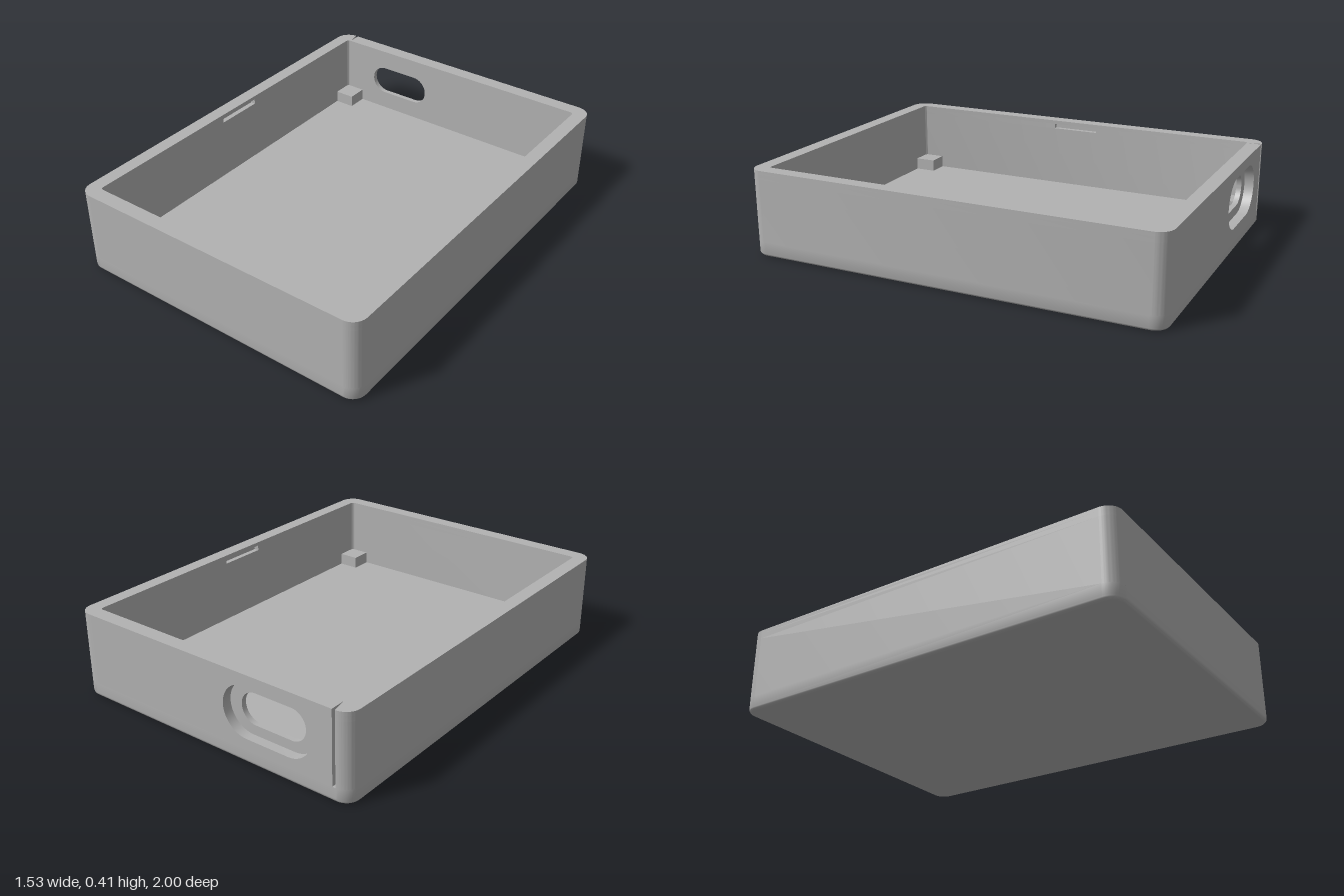
import * as THREE from 'three';
import { toCreasedNormals } from 'three/addons/utils/BufferGeometryUtils.js';

const X = 0.765, Z = 1, R = 0.07;          // outer half sizes and corner radius
const XI = 0.698, ZI = 0.93, RI = 0.015;   // inner half sizes and corner radius
const FLOOR = 0.07, TOP = 0.415;
const P = 0.68;                            // half width of the back panel
const PI = Math.PI;

// Rounded rectangle as points, counter-clockwise seen from above
function ring(inset, y) {
  const pts = [], r = R - inset, n = 10;
  [[1, 1], [-1, 1], [-1, -1], [1, -1]].forEach(([sx, sz], q) => {
    for (let i = 0; i <= n; i++) {
      const a = (q + i / n) * PI / 2;
      pts.push([sx * (X - R) + r * Math.cos(a), y, -sz * (Z - R) - r * Math.sin(a)]);
    }
  });
  return pts;
}

// Floor slab with a rounded lower edge
function baseGeometry() {
  const r = 0.02, steps = 5, rings = [];
  for (let i = 0; i <= steps; i++) {
    const t = i / steps * PI / 2;
    rings.push(ring(r * (1 - Math.sin(t)), r * (1 - Math.cos(t))));
  }
  rings.push(ring(0, FLOOR));
  const n = rings[0].length, last = rings.length - 1, index = [];
  const pos = rings.flat(2);
  const low = rings.length * n, high = low + 1;
  pos.push(0, 0, 0, 0, FLOOR, 0);
  for (let i = 0; i < n; i++) {
    const j = (i + 1) % n;
    for (let k = 0; k < last; k++) {
      const a = k * n + i, b = k * n + j;
      index.push(a, b, b + n, a, b + n, a + n);
    }
    index.push(low, j, i, high, last * n + i, last * n + j);
  }
  const g = new THREE.BufferGeometry();
  g.setAttribute('position', new THREE.Float32BufferAttribute(pos, 3));
  g.setIndex(index);
  return toCreasedNormals(g, 0.6);
}

// Plan of the walls, open at the back; optional pockets in the inner side faces
function wallShape(pockets) {
  const s = new THREE.Shape(), h = 0.12, d = 0.025;
  s.moveTo(-P, Z);
  s.absarc(-X + R, Z - R, R, PI / 2, PI);
  s.absarc(-X + R, -Z + R, R, PI, PI * 1.5);
  s.absarc(X - R, -Z + R, R, PI * 1.5, PI * 2);
  s.absarc(X - R, Z - R, R, 0, PI / 2);
  s.lineTo(P, Z);
  s.lineTo(P, ZI);
  s.absarc(XI - RI, ZI - RI, RI, PI / 2, 0, true);
  if (pockets) [[XI, h], [XI + d, h], [XI + d, -h], [XI, -h]].forEach(p => s.lineTo(...p));
  s.absarc(XI - RI, -ZI + RI, RI, 0, -PI / 2, true);
  s.absarc(-XI + RI, -ZI + RI, RI, -PI / 2, -PI, true);
  if (pockets) [[-XI, -h], [-XI - d, -h], [-XI - d, h], [-XI, h]].forEach(p => s.lineTo(...p));
  s.absarc(-XI + RI, ZI - RI, RI, PI, PI / 2, true);
  s.lineTo(-P, ZI);
  s.closePath();
  return s;
}

function extrude(shape, depth) {
  return new THREE.ExtrudeGeometry(shape, { depth, bevelEnabled: false, curveSegments: 12 });
}

// Back panel layer with a long round-ended opening
function panelGeometry(width, height, depth) {
  const s = new THREE.Shape();
  s.moveTo(-P, FLOOR);
  s.lineTo(P, FLOOR);
  s.lineTo(P, TOP);
  s.lineTo(-P, TOP);
  s.closePath();
  const cx = -0.345, cy = 0.24, r = height / 2, half = width / 2 - r;
  const hole = new THREE.Path();
  hole.absarc(cx + half, cy, r, PI / 2, -PI / 2, true);
  hole.absarc(cx - half, cy, r, -PI / 2, -PI * 1.5, true);
  hole.closePath();
  s.holes.push(hole);
  return toCreasedNormals(extrude(s, depth), 0.6);
}

export function createModel() {
  const group = new THREE.Group();
  const grey = new THREE.MeshStandardMaterial({ color: 0xb2b2b2 });
  grey.name = 'grey plastic';
  const add = (name, geometry, x = 0, y = 0, z = 0) => {
    const mesh = new THREE.Mesh(geometry, grey);
    mesh.name = name;
    mesh.position.set(x, y, z);
    group.add(mesh);
  };

  add('base', baseGeometry());

  // Walls in three layers, the middle one carrying the snap pockets
  [['lowerWalls', FLOOR, 0.372, false], ['pocketWalls', 0.372, 0.397, true], ['rimWalls', 0.397, TOP, false]]
    .forEach(([name, y0, y1, pockets]) => {
      const g = extrude(wallShape(pockets), y1 - y0).rotateX(-PI / 2);
      add(name, toCreasedNormals(g, 0.6), 0, y0, 0);
    });

  // Back wall: recess outside, narrower slot inside
  const ledge = 0.955;
  add('backRecessPanel', panelGeometry(0.466, 0.245, Z - ledge), 0, 0, -Z);
  add('backSlotPanel', panelGeometry(0.34, 0.15, ledge - ZI), 0, 0, -ledge);

  // Corner support blocks, set slightly into the walls and floor
  const size = 0.11, height = 0.07;
  for (const sx of [-1, 1]) for (const sz of [-1, 1]) {
    add('cornerBlock', new THREE.BoxGeometry(size, height, size),
      sx * (0.595 + size / 2), 0.13 - height / 2, sz * (0.825 + size / 2));
  }
  return group;
}
